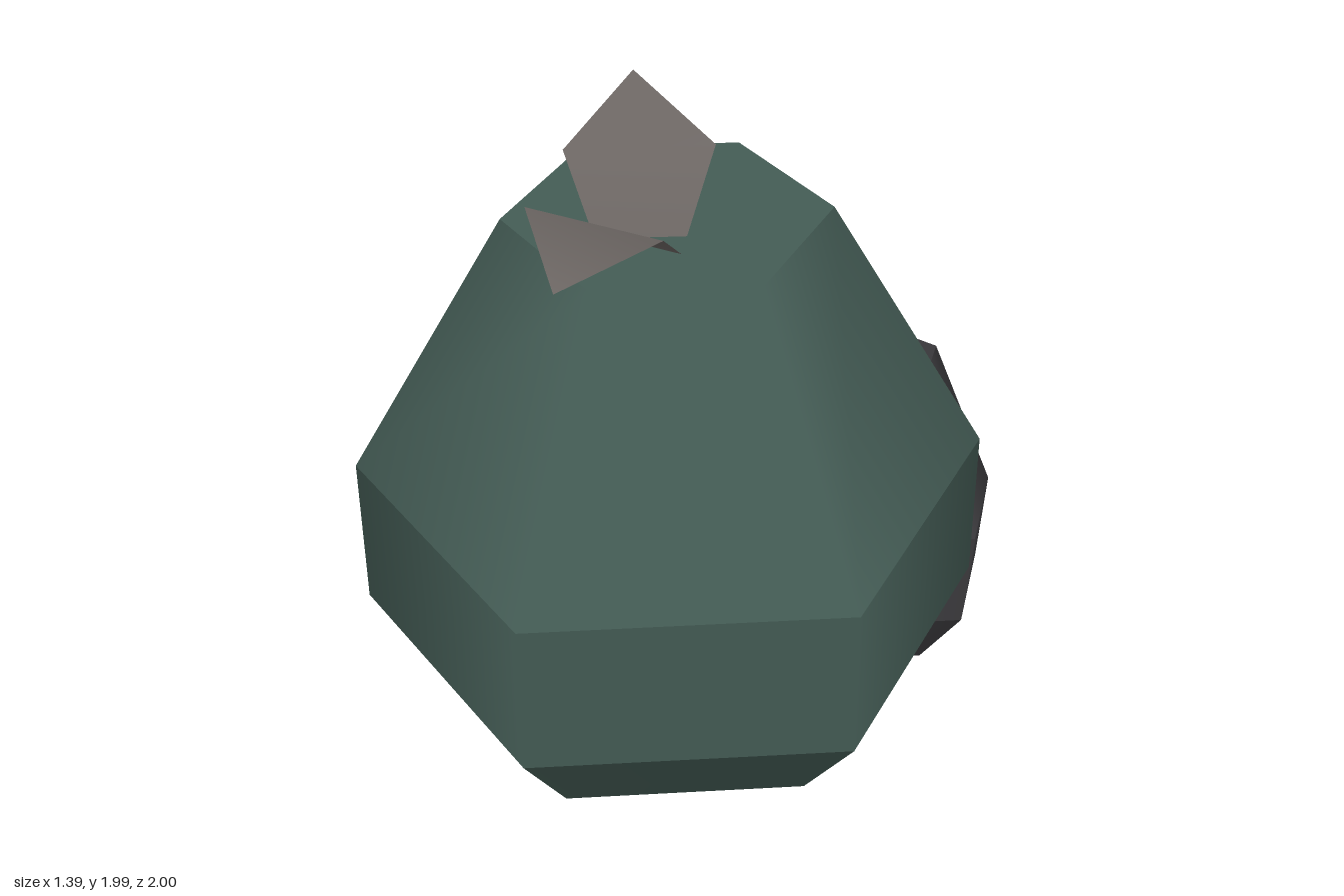
import * as THREE from 'three';
import { mergeGeometries } from 'three/addons/utils/BufferGeometryUtils.js';

const SIDES = 6;
// radius and height of each ring, from the foot to the rim
const RINGS = [[0.605, 0], [0.8, 0.27], [0.8, 0.69], [0.4, 1.39]];

// Six-sided pot: bands smooth around, sharp between rings, closed by two caps
function pot(name, color) {
  const parts = [];
  for (let i = 0; i < RINGS.length - 1; i++) {
    const [r0, y0] = RINGS[i];
    const [r1, y1] = RINGS[i + 1];
    parts.push(new THREE.CylinderGeometry(r1, r0, y1 - y0, SIDES, 1, true)
      .translate(0, (y0 + y1) / 2, 0));
  }
  const [footR] = RINGS[0];
  const [rimR, rimY] = RINGS[RINGS.length - 1];
  parts.push(new THREE.CircleGeometry(footR, SIDES, Math.PI / 2).rotateX(Math.PI / 2));
  parts.push(new THREE.CircleGeometry(rimR, SIDES, Math.PI / 2).rotateX(-Math.PI / 2)
    .translate(0, rimY, 0));
  const mesh = new THREE.Mesh(mergeGeometries(parts), new THREE.MeshStandardMaterial({ color }));
  mesh.name = name;
  return mesh;
}

// Five-cornered leaf folded across its widest line: two base, two middle, one tip
function leaf(name, baseA, baseB, midB, midA, tip) {
  const geometry = new THREE.BufferGeometry();
  geometry.setAttribute('position',
    new THREE.Float32BufferAttribute([baseA, baseB, midB, midA, tip].flat(), 3));
  geometry.setIndex([0, 1, 2, 0, 2, 3, 3, 2, 4]);
  geometry.computeVertexNormals();
  const mesh = new THREE.Mesh(geometry,
    new THREE.MeshStandardMaterial({ color: 0x6b6562, side: THREE.DoubleSide }));
  mesh.name = name;
  return mesh;
}

export function createModel() {
  const model = new THREE.Group();
  model.name = 'pottedPair';

  const large = pot('largeBody', 0x445c55);
  large.position.set(0, 0.33, 0.2);

  // Smaller body leaning backwards behind the large one
  const small = pot('smallBody', 0x3c3b3e);
  small.scale.setScalar(0.6);
  small.rotation.set(-0.26, 0.24, 0);
  small.position.set(0.175, 0.09, -0.44);

  model.add(large, small);

  // Leaves on the large body
  model.add(leaf('largeFrontLeaf',
    [-0.115, 1.72, 0.36], [0.115, 1.72, 0.36],
    [0.175, 1.88, 0.57], [-0.175, 1.88, 0.57], [0, 1.8, 0.76]));
  model.add(leaf('largeBackLeaf',
    [0.09, 1.72, 0.28], [-0.1, 1.72, 0.385],
    [-0.21, 1.9, 0.325], [0.1, 1.9, 0.145], [-0.17, 1.99, 0.04]));

  // Leaves on the small body
  model.add(leaf('smallFrontLeaf',
    [0.12, 0.9, -0.6], [0.25, 0.9, -0.6],
    [0.3, 1.04, -0.55], [0.07, 1.04, -0.55], [0.2, 1.08, -0.45]));
  model.add(leaf('smallBackLeaf',
    [0.24, 0.88, -0.71], [0.12, 0.91, -0.6],
    [0.03, 0.98, -0.68], [0.24, 0.94, -0.8], [0.06, 0.93, -0.88]));

  return model;
}
